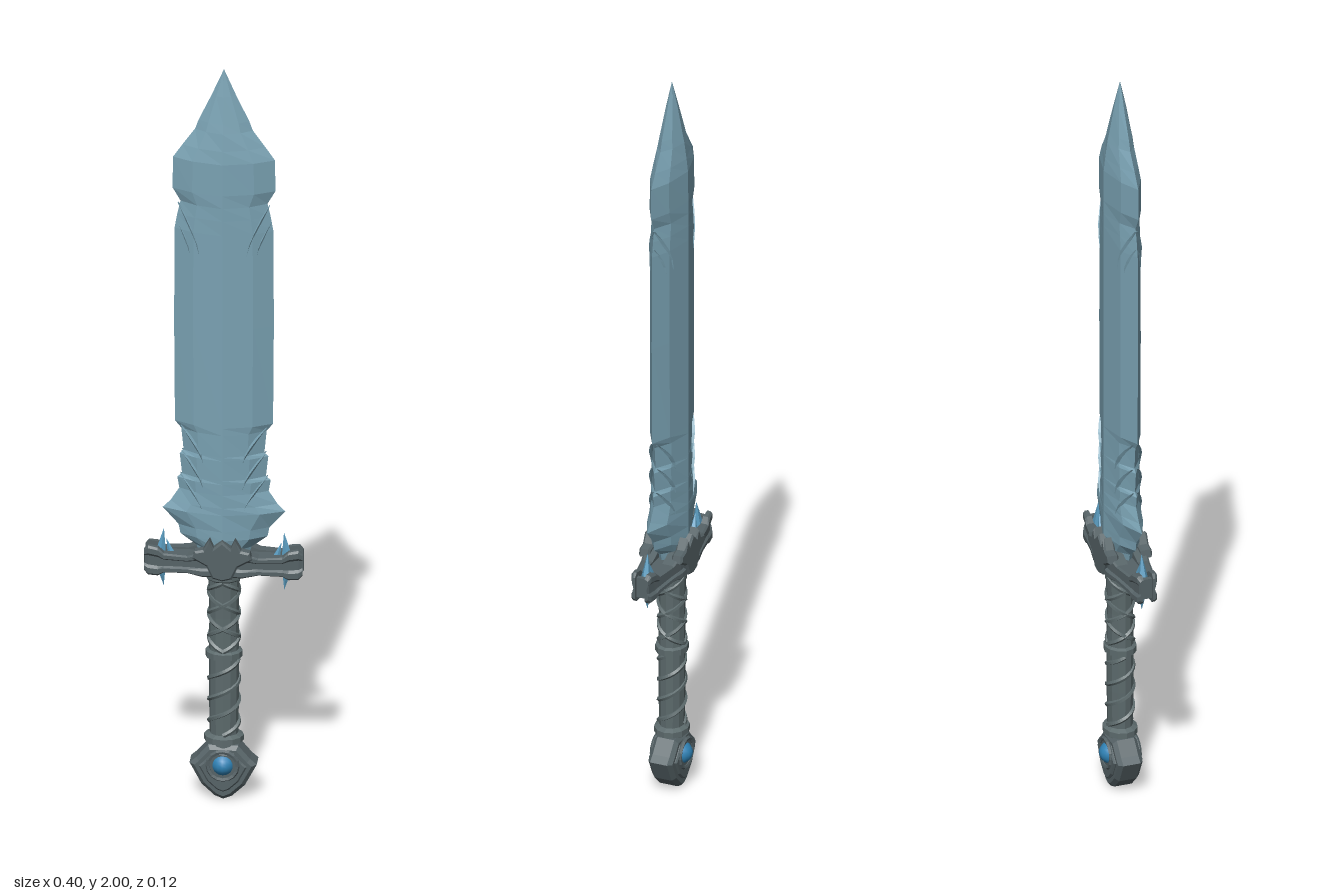
import * as THREE from 'three';

const mat = (name, color, flatShading = true) => {
  const m = new THREE.MeshStandardMaterial({ color, flatShading });
  m.name = name;
  return m;
};

// Closed surface through rings of [x, y, z]; each ring runs counter-clockwise about the sweep axis
function loft(rings) {
  const n = rings[0].length, pos = rings.flat(2), idx = [];
  for (let i = 0; i < rings.length - 1; i++)
    for (let j = 0; j < n; j++) {
      const k = (j + 1) % n, a = i * n + j, b = i * n + k, c = b + n, d = a + n;
      idx.push(a, b, d, b, c, d);
    }
  const cap = (ring, base, flip) => {
    const c = pos.length / 3;
    for (let q = 0; q < 3; q++) pos.push(ring.reduce((s, p) => s + p[q], 0) / n);
    for (let j = 0; j < n; j++) {
      const a = base + j, b = base + (j + 1) % n;
      flip ? idx.push(c, b, a) : idx.push(c, a, b);
    }
  };
  cap(rings[0], 0, true);
  cap(rings[rings.length - 1], (rings.length - 1) * n, false);
  const g = new THREE.BufferGeometry();
  g.setAttribute('position', new THREE.Float32BufferAttribute(pos, 3));
  g.setIndex(idx);
  const flat = g.toNonIndexed();
  flat.computeVertexNormals();
  return flat;
}

// Extruded outline from its right half, mirrored in x, starting at depth z0
function plate(half, z0, depth, bevel) {
  const left = half.filter(p => p[0] > 0).map(([x, y]) => [-x, y]).reverse();
  const shape = new THREE.Shape([...half, ...left].map(p => new THREE.Vector2(...p)));
  const g = new THREE.ExtrudeGeometry(shape, {
    depth: depth - 2 * bevel, bevelEnabled: bevel > 0, bevelSize: bevel,
    bevelThickness: bevel, bevelOffset: -bevel, bevelSegments: 1,
  });
  return g.translate(0, 0, z0 + bevel);
}

export function createModel() {
  const steel = mat('blue steel', 0x7aa2b3);
  const iron = mat('dark iron', 0x566367);
  const leather = mat('grip leather', 0x5c6a6c);
  const gemBlue = mat('gem blue', 0x2f82b5, false);
  const crystalBlue = mat('crystal blue', 0x5a9cc0);
  const root = new THREE.Group();
  root.name = 'sword';
  const add = (name, geo, m, parent = root) => {
    const mesh = new THREE.Mesh(geo, m);
    mesh.name = name;
    parent.add(mesh);
    return mesh;
  };

  // Blade: rows of height, half width, half thickness
  const rows = [
    [0.64, 0.055, 0.04], [0.69, 0.07, 0.043], [0.72, 0.11, 0.045], [0.745, 0.115, 0.045],
    [0.79, 0.155, 0.045], [0.81, 0.135, 0.045], [0.845, 0.113, 0.045], [0.875, 0.118, 0.045],
    [0.885, 0.106, 0.045], [0.94, 0.112, 0.045], [0.95, 0.102, 0.045], [1.01, 0.108, 0.045],
    [1.03, 0.124, 0.045], [1.3, 0.126, 0.045], [1.56, 0.125, 0.045], [1.6, 0.118, 0.045],
    [1.635, 0.11, 0.045], [1.67, 0.13, 0.045], [1.755, 0.129, 0.044], [1.79, 0.105, 0.04],
    [1.835, 0.073, 0.034], [1.86, 0.064, 0.029], [1.93, 0.031, 0.016], [2, 0.0005, 0.0005],
  ];
  add('blade', loft(rows.map(([y, w, t]) => {
    const m = 0.6 * w, k = 0.6 * t;
    return [[0, y, t], [m, y, k], [w, y, 0], [m, y, -k], [0, y, -t], [-m, y, -k], [-w, y, 0], [-m, y, k]];
  })), steel);

  // Height of the blade face at distance x from the ridge
  const faceZ = x => x > 0.075 ? 0.027 * Math.max(0, 0.125 - x) / 0.05 : 0.045 - 0.018 * x / 0.075;

  // Claw-shaped ridges sweeping in from the edges: [inner x, inner y, outer x, outer y]
  const claws = [[0.06, 1.5, 0.116, 1.63], [0.085, 1.5, 0.118, 1.58], [0.05, 0.93, 0.108, 1.02],
    [0.05, 0.86, 0.106, 0.95], [0.05, 0.79, 0.11, 0.885]];
  for (const back of [0, 1]) {
    const side = new THREE.Group();
    side.name = back ? 'backClaws' : 'frontClaws';
    side.rotation.y = back * Math.PI;
    root.add(side);
    for (const s of [1, -1])
      for (const [x0, y0, x1, y1] of claws)
        add('clawRidge', loft([0, 0.25, 0.5, 0.75, 1].map(u => {
          const x = x0 + (x1 - x0) * u ** 1.5, y = y0 + (y1 - y0) * u;
          const h = 0.001 + 0.005 * Math.sin(Math.PI * u), z = faceZ(x);
          return [[s * x, y, z + h * 0.7], [s * x + h, y, z - 0.005], [s * x - h, y, z - 0.005]];
        })), steel, side);
  }

  // Guard: two grooved rails bowed around a core; stations of x, bottom, top, outer z
  const half = [[0, 0.625, 0.695, 0.057], [0.05, 0.622, 0.69, 0.053], [0.09, 0.628, 0.675, 0.045],
    [0.15, 0.622, 0.675, 0.034], [0.165, 0.612, 0.688, 0.031], [0.19, 0.612, 0.692, 0.027], [0.2, 0.622, 0.682, 0.022]];
  const stations = [...half.slice(1).reverse().map(([x, ...r]) => [-x, ...r]), ...half];
  const rail = loft(stations.map(([x, a, b, z]) => {
    const at = (u, d) => [x, a + (b - a) * u, d];
    return [at(0, 0.013), at(1, 0.013), at(1, z - 0.005), at(0.93, z), at(0.75, z), at(0.66, z - 0.006),
      at(0.34, z - 0.006), at(0.25, z), at(0.07, z), at(0, z - 0.005)];
  }));
  const crest = plate([[0, 0.615], [0.025, 0.622], [0.04, 0.655], [0.075, 0.675], [0.07, 0.695], [0.048, 0.7],
    [0.032, 0.728], [0.022, 0.705], [0, 0.725]], 0.03, 0.03, 0.005);
  for (const back of [0, 1]) {
    const face = new THREE.Group();
    face.name = back ? 'guardBack' : 'guardFront';
    face.rotation.y = back * Math.PI;
    root.add(face);
    add('guardRail', rail, iron, face);
    add('guardCrest', crest, iron, face);
  }
  add('guardCore', new THREE.BoxGeometry(0.26, 0.04, 0.04).translate(0, 0.65, 0), iron);

  // Guard ends with crystals held between the rails
  for (const s of [1, -1]) {
    add('guardEnd', new THREE.BoxGeometry(0.012, 0.055, 0.03).translate(s * 0.186, 0.652, 0), iron);
    const spike = (name, x, y, r, h, tilt) => {
      const c = add(name, new THREE.ConeGeometry(r, h, 5), crystalBlue);
      c.position.set(s * x, y, 0);
      c.rotation.z = s * tilt;
    };
    spike('upperCrystal', 0.157, 0.688, 0.019, 0.09, 0.12);
    spike('sideCrystal', 0.138, 0.68, 0.012, 0.05, -0.3);
    spike('lowerCrystal', 0.157, 0.614, 0.018, 0.08, Math.PI - 0.12);
  }

  // Grip, slightly flattened front to back
  const grip = new THREE.Group();
  grip.name = 'grip';
  grip.scale.z = 0.88;
  root.add(grip);
  const profile = [[0, 0.13], [0.034, 0.13], [0.034, 0.155], [0.05, 0.157], [0.05, 0.172], [0.036, 0.178], [0.038, 0.28],
    [0.038, 0.385], [0.047, 0.388], [0.047, 0.404], [0.038, 0.408], [0.037, 0.5], [0.04, 0.6], [0.046, 0.605], [0.046, 0.63], [0, 0.63]];
  add('gripCore', new THREE.LatheGeometry(profile.map(p => new THREE.Vector2(...p)), 12), leather, grip);
  // Straps: single spiral below the middle band, crossing straps above
  const strap = (y0, y1, turns, phase) => {
    const pts = [];
    for (let i = 0; i <= 40; i++) {
      const a = phase + turns * Math.PI * 2 * i / 40;
      pts.push(new THREE.Vector3(0.037 * Math.sin(a), y0 + (y1 - y0) * i / 40, 0.037 * Math.cos(a)));
    }
    add('gripStrap', new THREE.TubeGeometry(new THREE.CatmullRomCurve3(pts), 64, 0.0065, 5), leather, grip);
  };
  for (const phase of [0, Math.PI]) {
    strap(0.18, 0.383, 1.75, phase);
    strap(0.41, 0.6, 1.5, phase);
    strap(0.41, 0.6, -1.5, phase);
  }

  // Pommel: shield-shaped body, raised faces and a gem on each side
  const outline = [[0, 0.003], [0.022, 0.012], [0.055, 0.043], [0.085, 0.1], [0.068, 0.115], [0.038, 0.15]];
  add('pommel', plate(outline, -0.033, 0.066, 0.01), iron);
  const inset = outline.map(([x, y]) => [x * 0.72, 0.09 + (y - 0.09) * 0.72]);
  add('pommelFace', plate(inset, -0.039, 0.078, 0.004), iron);
  for (const s of [1, -1])
    add('gemSetting', new THREE.TorusGeometry(0.038, 0.006, 5, 16).translate(0, 0.1, s * 0.038), iron);
  add('pommelGem', new THREE.SphereGeometry(0.037, 20, 14).scale(1, 1, 1.5).translate(0, 0.1, 0), gemBlue);

  return root;
}
